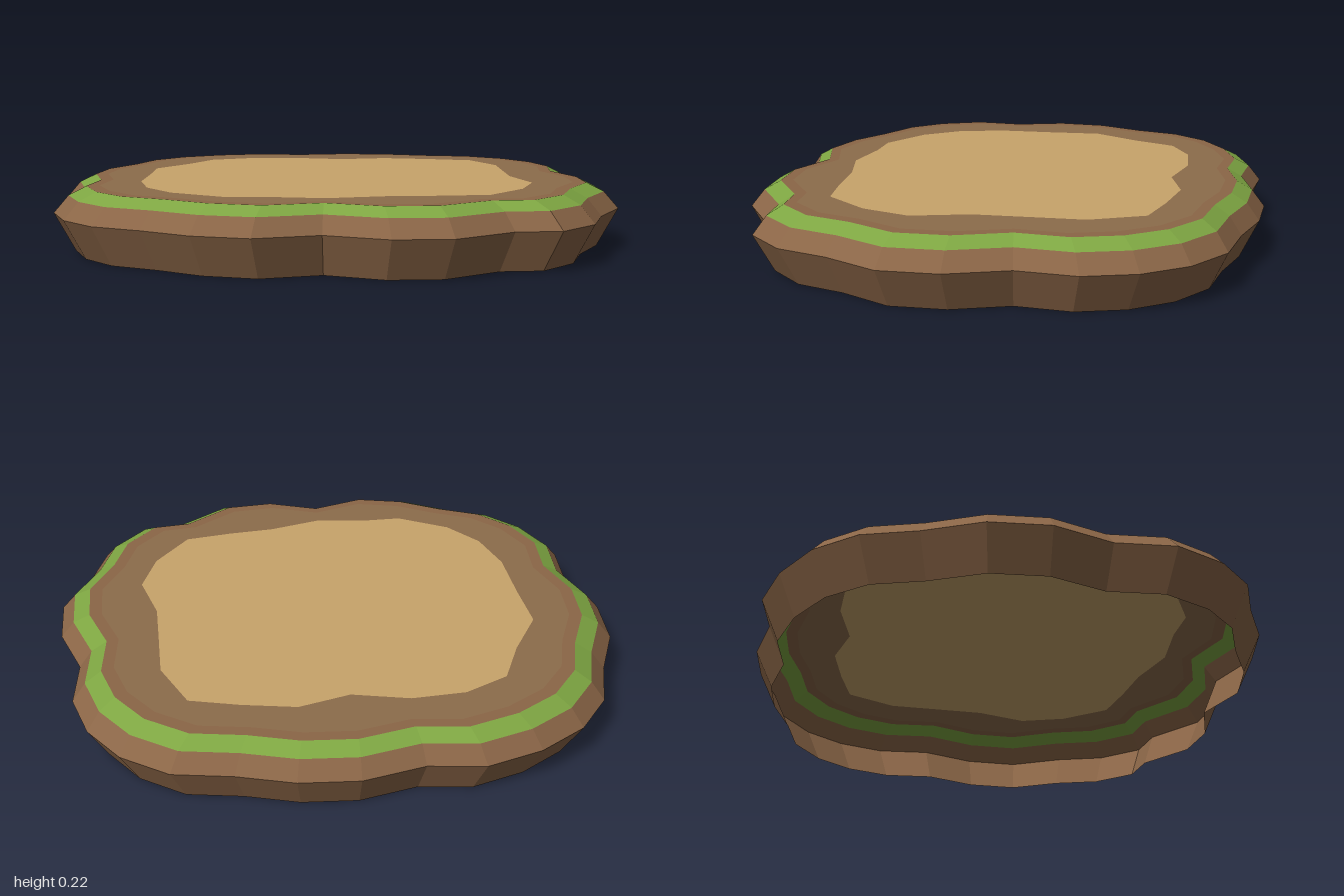
import * as THREE from 'three';

// Plan outlines as x, z pairs, clockwise from the back
const RIM = [
  0, -0.9, 0.2, -0.89, 0.39, -0.84, 0.59, -0.81, 0.75, -0.71, 0.86, -0.57, 0.92, -0.4, 0.91, -0.2,
  0.99, 0, 1, 0.2, 0.91, 0.39, 0.86, 0.57, 0.74, 0.71, 0.59, 0.73, 0.4, 0.87, 0.21, 0.89,
  0, 0.82, -0.21, 0.89, -0.4, 0.85, -0.57, 0.76, -0.74, 0.69, -0.86, 0.57, -0.94, 0.4, -0.93, 0.2,
  -1, 0, -0.99, -0.2, -0.91, -0.39, -0.86, -0.57, -0.75, -0.71, -0.59, -0.81, -0.4, -0.87, -0.21, -0.85,
];
const SAND = [
  0, -0.57, 0.175, -0.62, 0.36, -0.59, 0.53, -0.55, 0.62, -0.37, 0.63, -0.18, 0.64, 0, 0.7, 0.19,
  0.65, 0.36, 0.53, 0.52, 0.36, 0.55, 0.19, 0.57, 0, 0.625, -0.19, 0.605, -0.33, 0.61, -0.515, 0.515,
  -0.62, 0.39, -0.675, 0.22, -0.685, 0, -0.7, -0.19, -0.6, -0.36, -0.53, -0.52, -0.38, -0.595, -0.195, -0.61,
];
const TOP = 0.222;

const pairs = (list, s = 1) =>
  Array.from({ length: list.length / 2 }, (_, i) => new THREE.Vector2(list[2 * i] * s, -list[2 * i + 1] * s));

// Faceted band joining two scaled copies of the rim outline
function band(s0, y0, s1, y1) {
  const a = pairs(RIM, s0), b = pairs(RIM, s1), pos = [];
  const put = (p, y) => pos.push(p.x, y, -p.y);
  for (let i = 0; i < a.length; i++) {
    const j = (i + 1) % a.length;
    put(a[j], y0); put(a[i], y0); put(b[i], y1);
    put(a[j], y0); put(b[i], y1); put(b[j], y1);
  }
  const g = new THREE.BufferGeometry();
  g.setAttribute('position', new THREE.Float32BufferAttribute(pos, 3));
  g.computeVertexNormals();
  return g;
}

// Horizontal face filling an outline, with an optional hole
function plate(outline, hole) {
  const shape = new THREE.Shape(outline);
  if (hole) shape.holes.push(new THREE.Path(hole));
  return new THREE.ShapeGeometry(shape).rotateX(-Math.PI / 2).translate(0, TOP, 0);
}

function material(name, color) {
  const m = new THREE.MeshStandardMaterial({ color, flatShading: true, side: THREE.DoubleSide });
  m.name = name;
  return m;
}

export function createModel() {
  const soil = material('soil brown', 0x8b6647);
  const grass = material('grass green', 0x7ea642);
  const path = material('path brown', 0x8c6c4b);
  const sand = material('sand', 0xc8a46a);

  const group = new THREE.Group();
  group.name = 'groundTile';
  const add = (name, geometry, mat) => {
    const mesh = new THREE.Mesh(geometry, mat);
    mesh.name = name;
    group.add(mesh);
  };

  // Open-bottomed soil wall and sloping shoulder
  add('lowerWall', band(0.93, 0, 1, 0.135), soil);
  add('shoulder', band(1, 0.135, 0.95, 0.193), soil);
  // Grass bevel and the narrow soil edge inside it
  add('grassRim', band(0.95, 0.193, 0.89, TOP), grass);
  add('soilEdge', band(0.89, TOP, 0.845, TOP), soil);
  // Flat top surfaces
  add('pathRing', plate(pairs(RIM, 0.845), pairs(SAND)), path);
  add('sandCentre', plate(pairs(SAND)), sand);
  return group;
}
